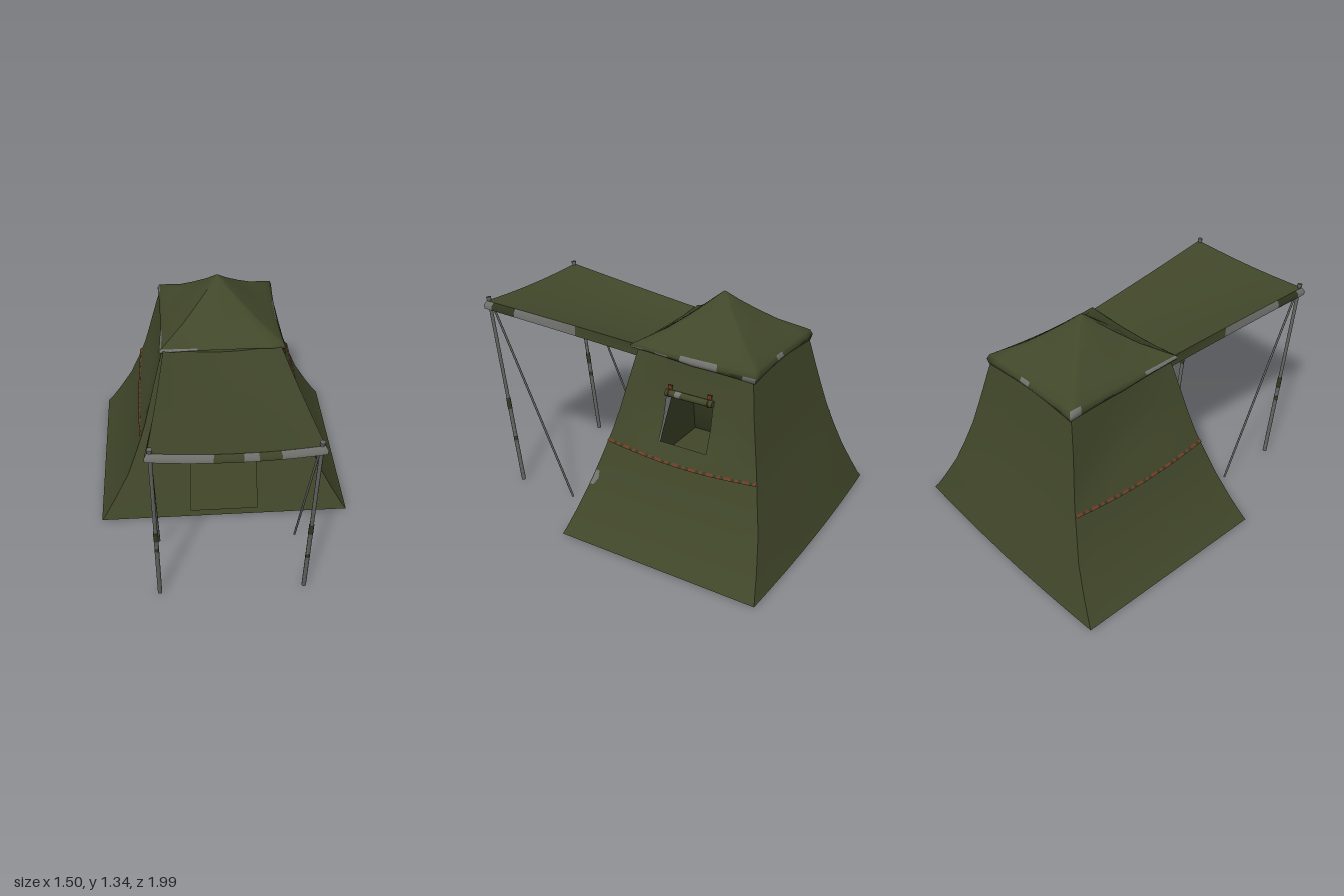
import * as THREE from 'three';

const mat = (name, color, side = THREE.DoubleSide) => {
  const m = new THREE.MeshStandardMaterial({ color, side });
  m.name = name;
  return m;
};
const { lerp, smoothstep } = THREE.MathUtils;
const range = (n, f) => Array.from({ length: n + 1 }, (_, i) => f(i / n, i));

// Sheet through rows of points (bottom to top, left to right); pick() gives a material index, -1 leaves a hole
function sheet(name, rows, mats, pick = () => 0) {
  const w = rows[0].length;
  const buckets = mats.map(() => []);
  for (let i = 0; i < rows.length - 1; i++) {
    for (let j = 0; j < w - 1; j++) {
      const k = pick(i, j);
      if (k < 0) continue;
      const a = i * w + j, d = a + w;
      buckets[k].push(a, a + 1, d + 1, a, d + 1, d);
    }
  }
  const geo = new THREE.BufferGeometry();
  geo.setAttribute('position', new THREE.Float32BufferAttribute(rows.flat(2), 3));
  geo.setIndex(buckets.flat());
  let start = 0;
  buckets.forEach((b, k) => { geo.addGroup(start, b.length, k); start += b.length; });
  geo.computeVertexNormals();
  const mesh = new THREE.Mesh(geo, mats);
  mesh.name = name;
  return mesh;
}

// Rod between two points
function rod(name, a, b, r, material, sides = 10) {
  const p = new THREE.Vector3(...a), q = new THREE.Vector3(...b);
  const dir = q.clone().sub(p);
  const mesh = new THREE.Mesh(new THREE.CylinderGeometry(r, r, dir.length(), sides), material);
  mesh.position.copy(p).add(q).multiplyScalar(0.5);
  mesh.quaternion.setFromUnitVectors(new THREE.Vector3(0, 1, 0), dir.normalize());
  mesh.name = name;
  return mesh;
}

// Tent levels: height, half width, front z, back z
const LEVELS = [
  [0.004, 0.75, 0.23, -0.98], [0.04, 0.722, 0.218, -0.968], [0.15, 0.655, 0.185, -0.94],
  [0.3, 0.572, 0.145, -0.9], [0.45, 0.513, 0.104, -0.858], [0.53, 0.484, 0.083, -0.838],
  [0.6, 0.46, 0.064, -0.82], [0.72, 0.428, 0.036, -0.792], [0.84, 0.398, 0.012, -0.765],
  [0.965, 0.365, -0.012, -0.74], [1.06, 0.338, -0.03, -0.72],
];
function level(y) {
  let i = 0;
  while (i < LEVELS.length - 2 && LEVELS[i + 1][0] < y) i++;
  const t = (y - LEVELS[i][0]) / (LEVELS[i + 1][0] - LEVELS[i][0]);
  return LEVELS[i].map((v, k) => lerp(v, LEVELS[i + 1][k], t));
}
// Half width of a side wall, which sinks in between its corners above the seam
function sideX(y, z) {
  const [, h, f, b] = level(y);
  const t = (z - f) / (b - f);
  return h - 0.14 * t * (1 - t) * smoothstep(y, 0.52, 0.74) * (1 - 0.7 * smoothstep(y, 0.9, 1.1));
}
// Back wall row, bowed outwards near the ground
const backRow = ([y, h, , b]) =>
  range(8, t => [h * (1 - 2 * t), y, b - 0.08 * t * (1 - t) * Math.max(0, 1 - 1.8 * y)]);

export function createModel() {
  const group = new THREE.Group();
  const canvas = mat('olive canvas', 0x41472a);
  const dark = mat('dark olive', 0x333822);
  const grey = mat('grey patch', 0x737370);
  const metal = mat('pole grey', 0x626260, THREE.FrontSide);
  const red = mat('red stitching', 0x6c3a24);
  const add = (...m) => group.add(...m);

  // Front wall with the open doorway
  add(sheet('frontWall', LEVELS.map(([y, h, f]) => {
    const l = lerp(-0.213, -0.18, y), r = lerp(0.203, 0.17, y);
    return [-h, l, r, h].map(x => [x, y, f]);
  }), [canvas], (i, j) => (j === 1 && i >= 1 && i <= 8 ? -1 : 0)));

  add(sheet('backWall', LEVELS.map(backRow), [canvas]));

  // Side walls; the left one has the window opening
  add(sheet('leftWall', LEVELS.map(([y, , f, b]) => {
    const s = (y - 0.6) * 0.04, w0 = -0.23 + s * 0.2, w1 = -0.52 + s;
    const zs = [f, lerp(f, w0, 0.33), lerp(f, w0, 0.67), w0, (w0 + w1) / 2, w1,
      lerp(w1, b, 0.33), lerp(w1, b, 0.67), b];
    return zs.map(z => [sideX(y, z), y, z]);
  }), [canvas], (i, j) => ((j === 3 || j === 4) && (i === 6 || i === 7) ? -1 : 0)));
  add(sheet('rightWall', LEVELS.map(([y, , f, b]) => range(8, t => {
    const z = lerp(b, f, t);
    return [-sideX(y, z), y, z];
  })), [canvas]));

  // Groundsheet, following the bowed back edge
  const [, fw, ff] = LEVELS[0];
  add(sheet('groundsheet', [range(8, t => [fw * (1 - 2 * t), LEVELS[0][0], ff]), backRow(LEVELS[0])], [canvas]));

  // Stitched seams along both sides
  for (const s of [1, -1]) {
    const rows = [[-0.008, 0.012], [0.004, 0.003]].map(([dy, out]) => range(44, t => {
      const y = 0.539 - 0.028 * Math.sin(Math.PI * t) + dy;
      const [, , f, b] = level(y);
      const z = s > 0 ? lerp(f, b, t) : lerp(b, f, t);
      return [s * (sideX(y, z) + out), y, z];
    }));
    add(sheet('sideSeam', rows, [red, dark], (i, j) => (j * 7 % 5 < 3 ? 0 : 1)));
  }

  // Worn patch beside the front corner
  add(sheet('wornPatch', [0.28, 0.32, 0.36].map((y, i) => {
    const z = level(y)[2] - 0.006;
    return [z, z - (i === 1 ? 0.035 : 0.021)].map(p => [sideX(y, p) + 0.004, y, p]);
  }), [grey]));

  // Rolled window flap with two straps
  const flap = new THREE.Group();
  flap.name = 'windowFlap';
  const rx = 0.376, ry = 0.86;
  flap.add(rod('flapRoll', [rx, ry, -0.23], [rx, ry, -0.515], 0.019, canvas, 12));
  flap.add(rod('flapPatch', [rx, ry, -0.29], [rx, ry, -0.325], 0.0195, grey, 12));
  for (const z of [-0.25, -0.49]) {
    const strap = new THREE.Mesh(new THREE.TorusGeometry(0.021, 0.003, 6, 14), red);
    strap.position.set(rx, ry, z);
    strap.name = 'flapStrap';
    const tie = new THREE.Mesh(new THREE.BoxGeometry(0.008, 0.03, 0.024), red);
    tie.position.set(rx - 0.01, ry + 0.028, z);
    tie.name = 'strapTie';
    flap.add(strap, tie);
  }
  add(flap);

  // Roof: rings from the eave up to the peak (scale, height, droop, roundness), the front eave lifted over the awning
  const N = 10;
  const ring = ([scale, y, droop, round]) => range(4 * N, (t, k) => {
    const side = Math.floor(k / N) % 4, u = (k % N) / N * 2 - 1;
    const pull = 1 - 0.03 * (1 - u * u);
    const [x, z] = [[u, pull], [pull, -u], [-u, -pull], [-pull, u]][side];
    const r = scale * lerp(1, 1 / Math.hypot(x, z), round);
    const lift = 0.6 * Math.max(0, 1.085 - y) * Math.max(0, z);
    return [x * r * 0.35 - 0.006 * (1 - scale), y + lift - droop * (1 - u * u), -0.365 + z * r * 0.37];
  });
  const roofRings = [[0.97, 1.022, -0.008, 0], [1.0, 1.02, -0.008, 0], [1.02, 1.052, 0.004, 0],
    [0.985, 1.08, 0.01, 0], [0.87, 1.108, 0.008, 0.06], [0.64, 1.16, 0.002, 0.2], [0.42, 1.222, 0, 0.35],
    [0.2, 1.286, 0, 0.6], [0.06, 1.328, 0, 1], [0.001, 1.342, 0, 1]];
  // Worn eave patches: upper band and lower band
  const upperGrey = new Set([0, 1, 2, 14, 15, 16, 24, 30, 37, 38, 39]);
  const lowerGrey = new Set([10, 12, 14, 15, 16, 19, 30, 38]);
  add(sheet('roof', roofRings.map(ring), [canvas, grey, dark], (i, j) => {
    if (i === 2) return upperGrey.has(j) ? 1 : 0;
    if (i === 1) return lowerGrey.has(j) ? 1 : j % 5 === 3 ? 2 : 0;
    return 0;
  }));

  // Awning, sagging between its edges; v runs from the tent to the front
  const awningPoint = (u, v) => [
    u * (0.332 + 0.07 * v + 0.018 * v * v),
    1.073 + 0.089 * v - (0.034 - 0.016 * v) * (1 - u * u) - 0.012 * Math.sin(Math.PI * v) * (1 - u * u),
    -0.02 + 0.99 * v + 0.008 * (1 - u * u) * v];
  add(sheet('awning', range(10, t => range(10, u => awningPoint(u * 2 - 1, 1 - t))), [canvas]));

  // Awning hems with worn patches
  const hemRows = (points, drop, out) => [1, 0.5, 0].map(k => points.map(([p, v]) => {
    const o = out(v, Math.sin(k * 2.2));
    return [p[0] + o[0], p[1] - drop(v) * k, p[2] + o[1]];
  }));
  const frontEdge = range(24, t => [awningPoint(t * 2 - 1, 1), t]);
  const frontGrey = [0, 1, 2, 3, 4, 5, 6, 7, 8, 13, 14, 18, 19, 20, 21, 22, 23];
  add(sheet('frontHem', hemRows(frontEdge, () => 0.046, (v, k) => [(v - 0.5) * 0.03 * k, 0.014 * k]),
    [canvas, grey], (i, j) => (frontGrey.includes(j) ? 1 : 0)));
  for (const s of [1, -1]) {
    const edge = range(20, t => {
      const v = s > 0 ? 1 - t : t;
      return [awningPoint(s, v), v];
    });
    add(sheet('sideHem', hemRows(edge, v => 0.07 - 0.024 * v, (v, k) => [s * k * (0.025 * v - 0.01), 0.014 * v * v * k]),
      [canvas, grey, dark], (i, j) => {
        const v = ((s > 0 ? 19 - j : j) + 0.5) / 20;
        return v > 0.94 ? 1 : v > 0.8 ? 2 : v > 0.4 ? 1 : 0;
      }));
  }

  // Telescopic poles with their thin braces
  for (const s of [1, -1]) {
    const x = s * 0.405;
    const at = y => [x, y, lerp(0.81, 0.965, y / 1.17)];
    const pole = new THREE.Group();
    pole.name = 'awningPole';
    pole.add(rod('lowerPole', at(0), at(0.55), 0.0125, metal));
    pole.add(rod('poleSleeve', at(s > 0 ? 0.27 : 0.39), at(s > 0 ? 0.3 : 0.42), 0.0128, dark));
    pole.add(rod('poleJoint', at(0.48), at(0.55), 0.0135, dark));
    pole.add(rod('upperPole', at(0.55), at(1.17), 0.0105, metal));
    pole.add(rod('poleCap', at(1.168), at(1.183), 0.014, metal));
    pole.add(rod('brace', [x, 0, 0.42], [x, 1.125, 0.935], 0.0065, metal, 8));
    add(pole);
  }
  return group;
}
